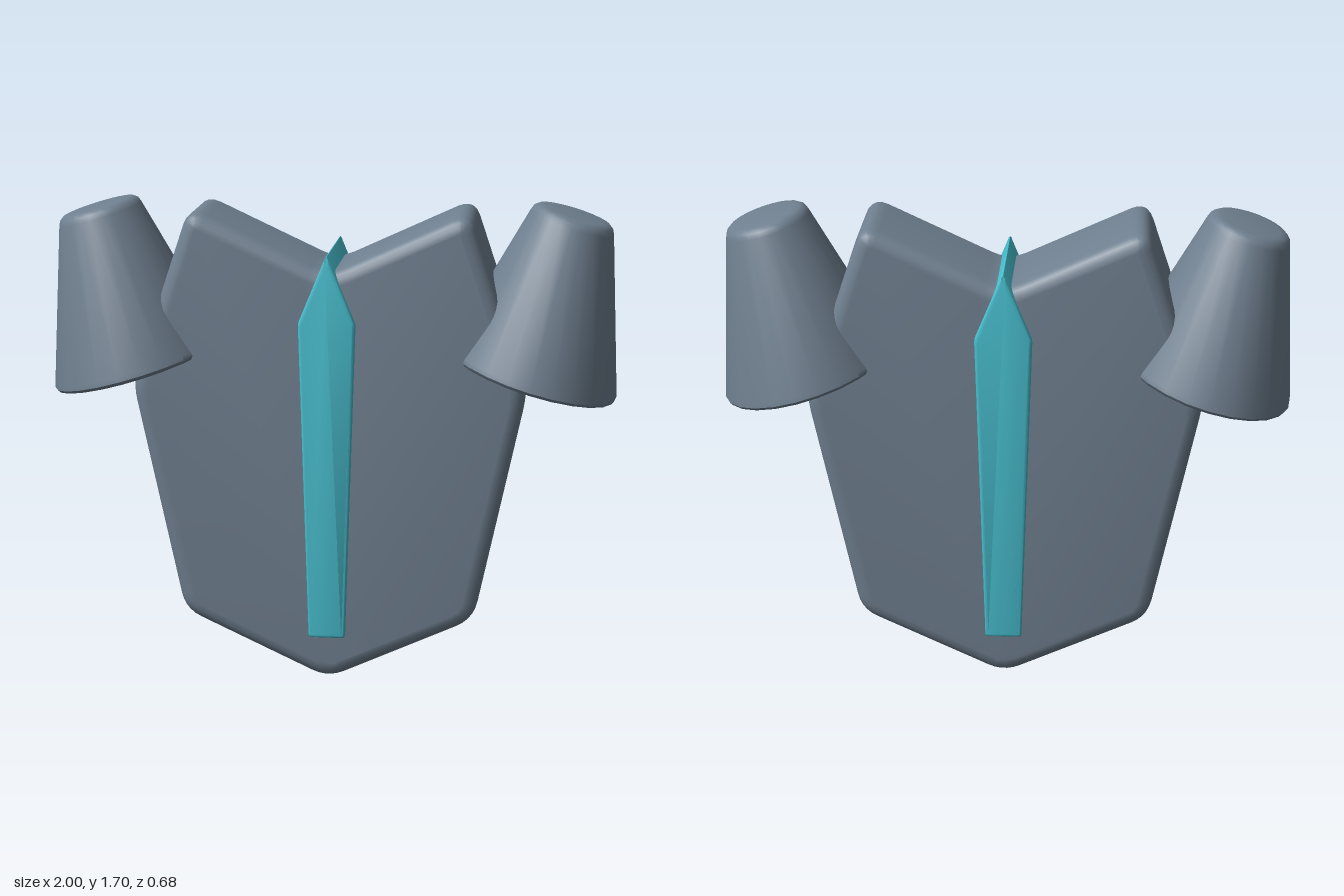
import * as THREE from 'three';
import { toCreasedNormals } from 'three/addons/utils/BufferGeometryUtils.js';

const slate = new THREE.MeshStandardMaterial({ color: 0x708090 });
const cyan = new THREE.MeshStandardMaterial({ color: 0x48c0d0 });

// Shape from the right half of an outline (bottom to top), mirrored, with rounded corners
function mirroredShape(half, round) {
  const left = half.filter(([x]) => x > 0).map(([x, y]) => [-x, y]).reverse();
  const pts = [...half, ...left].map(([x, y]) => new THREE.Vector2(x, y));
  const shape = new THREE.Shape();
  pts.forEach((p, i) => {
    const prev = pts[(i + pts.length - 1) % pts.length];
    const next = pts[(i + 1) % pts.length];
    const a = prev.clone().sub(p).setLength(round).add(p);
    const b = next.clone().sub(p).setLength(round).add(p);
    if (i === 0) shape.moveTo(a.x, a.y);
    else shape.lineTo(a.x, a.y);
    shape.quadraticCurveTo(p.x, p.y, b.x, b.y);
  });
  shape.closePath();
  return shape;
}

// Slab centred on z = 0 with rounded front and back edges
function slab(name, shape, depth, bevel, material) {
  const geo = new THREE.ExtrudeGeometry(shape, {
    depth: depth - 2 * bevel, curveSegments: 5, bevelEnabled: true,
    bevelThickness: bevel, bevelSize: bevel, bevelOffset: -bevel, bevelSegments: 4,
  });
  geo.translate(0, 0, bevel - depth / 2);
  const mesh = new THREE.Mesh(toCreasedNormals(geo, 0.6), material);
  mesh.name = name;
  return mesh;
}

// Solid, slightly sheared cone leaning outward, with softened rims
function shoulderGeometry() {
  const profile = [
    [0, 0], [0.315, 0], [0.335, 0.008], [0.342, 0.025], [0.339, 0.05],
    [0.167, 0.945], [0.159, 0.975], [0.142, 0.994], [0.12, 1], [0, 1],
  ].map(([r, h]) => new THREE.Vector2(r, h));
  const geo = new THREE.LatheGeometry(profile, 24);
  geo.applyMatrix4(new THREE.Matrix4().makeBasis(
    new THREE.Vector3(0.866, -0.255, 0),
    new THREE.Vector3(0.137, 0.578, 0),
    new THREE.Vector3(0, 0, 1),
  ).setPosition(0.702, 1.09, 0));
  return toCreasedNormals(geo, 0.75);
}

export function createModel() {
  const model = new THREE.Group();
  model.name = 'chestArmour';

  // Breastplate body
  const body = mirroredShape(
    [[0, -0.012], [0.52, 0.23], [0.695, 1.07], [0.485, 1.69], [0, 1.465]], 0.065);
  model.add(slab('body', body, 0.41, 0.05, slate));

  // Central blade running through the body from front to back
  const blade = mirroredShape([[0.065, 0.158], [0.1, 1.3], [0, 1.542]], 0.012);
  model.add(slab('centreBlade', blade, 0.45, 0.012, cyan));

  // Shoulder guards, the right one turned half round
  const guard = shoulderGeometry();
  for (const [name, turn] of [['leftShoulder', 0], ['rightShoulder', Math.PI]]) {
    const mesh = new THREE.Mesh(guard, slate);
    mesh.name = name;
    mesh.rotation.y = turn;
    model.add(mesh);
  }
  return model;
}
